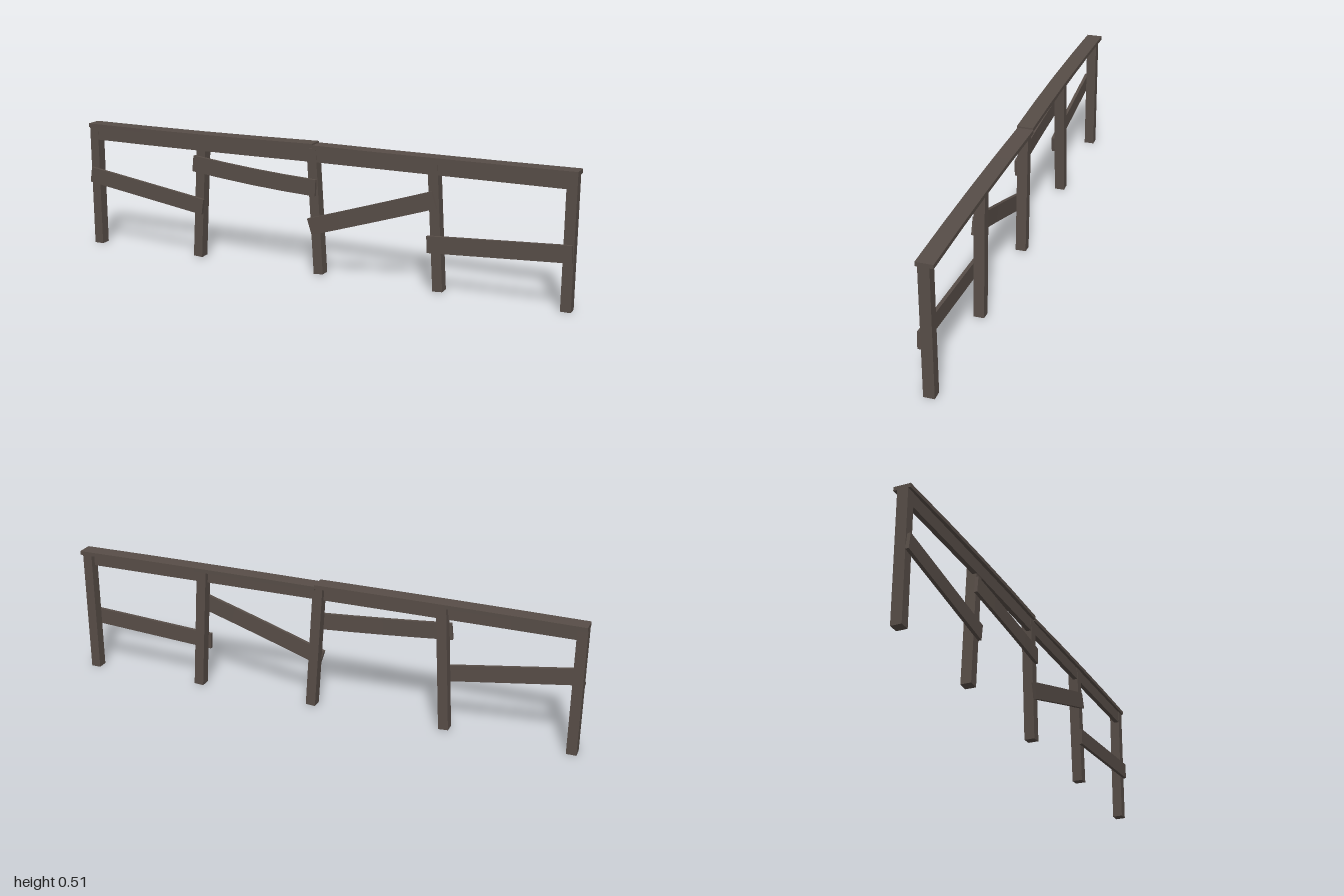
import * as THREE from 'three';

export function createModel() {
  const group = new THREE.Group();
  const wood = new THREE.MeshStandardMaterial({ color: 0x574d47, flatShading: true });
  wood.name = 'weathered dark wood';

  // Timber following a gentle bend from start to end, through the middle point if given
  function timber(name, start, end, height, depth, middle) {
    const a = new THREE.Vector3(...start), b = new THREE.Vector3(...end);
    const mid = a.clone().lerp(b, 0.5);
    const m = middle ? new THREE.Vector3(...middle) : mid.clone();
    const control = m.multiplyScalar(2).sub(mid);
    const curve = new THREE.QuadraticBezierCurve3(a, control, b);
    const geometry = new THREE.BoxGeometry(1, height, depth, middle ? 4 : 1, 1, 1);
    const pos = geometry.attributes.position;
    for (let i = 0; i < pos.count; i++) {
      const t = pos.getX(i) + 0.5;
      const p = curve.getPoint(t), d = curve.getTangent(t);
      const len = Math.hypot(d.x, d.y), y = pos.getY(i);
      pos.setXYZ(i, p.x - (d.y / len) * y, p.y + (d.x / len) * y, p.z + pos.getZ(i));
    }
    geometry.computeVertexNormals();
    const mesh = new THREE.Mesh(geometry, wood);
    mesh.name = name;
    group.add(mesh);
  }

  // Posts, the inner three leaning: [foot x, top x]
  const posts = [[-0.981, -0.981], [-0.505, -0.477], [0.026, -0.004], [0.506, 0.475], [0.979, 0.979]];
  posts.forEach(([foot, top], i) => {
    const lift = foot === top ? 0 : 0.005;
    timber('post' + (i + 1), [foot, lift, 0], [top, 0.49, 0], 0.038, 0.04);
  });

  // Cap boards lying flat along the top
  timber('capBoardRight', [-1, 0.494, -0.003], [0.003, 0.501, -0.004], 0.015, 0.063, [-0.49, 0.496, 0.004]);
  timber('capBoardLeft', [0.003, 0.495, -0.006], [1, 0.496, -0.004], 0.015, 0.062, [0.5, 0.495, 0]);

  // Upper rails under the cap
  timber('upperRailRight', [-0.965, 0.463, 0.01], [-0.01, 0.465, 0.009], 0.054, 0.018, [-0.49, 0.463, 0.013]);
  timber('upperRailLeft', [0.015, 0.465, 0.009], [0.962, 0.465, 0.009], 0.054, 0.018);

  // Crooked boards nailed to the front of the posts
  timber('crookedBoard1', [-0.996, 0.291, 0.026], [-0.472, 0.213, 0.026], 0.062, 0.013);
  timber('crookedBoard2', [-0.511, 0.385, 0.025], [0.018, 0.342, 0.025], 0.063, 0.013, [-0.245, 0.359, 0.03]);
  timber('crookedBoard3', [-0.006, 0.19, 0.025], [0.488, 0.349, 0.025], 0.064, 0.013, [0.241, 0.269, 0.029]);
  timber('crookedBoard4', [0.465, 0.182, 0.026], [0.995, 0.214, 0.026], 0.063, 0.013);

  return group;
}
